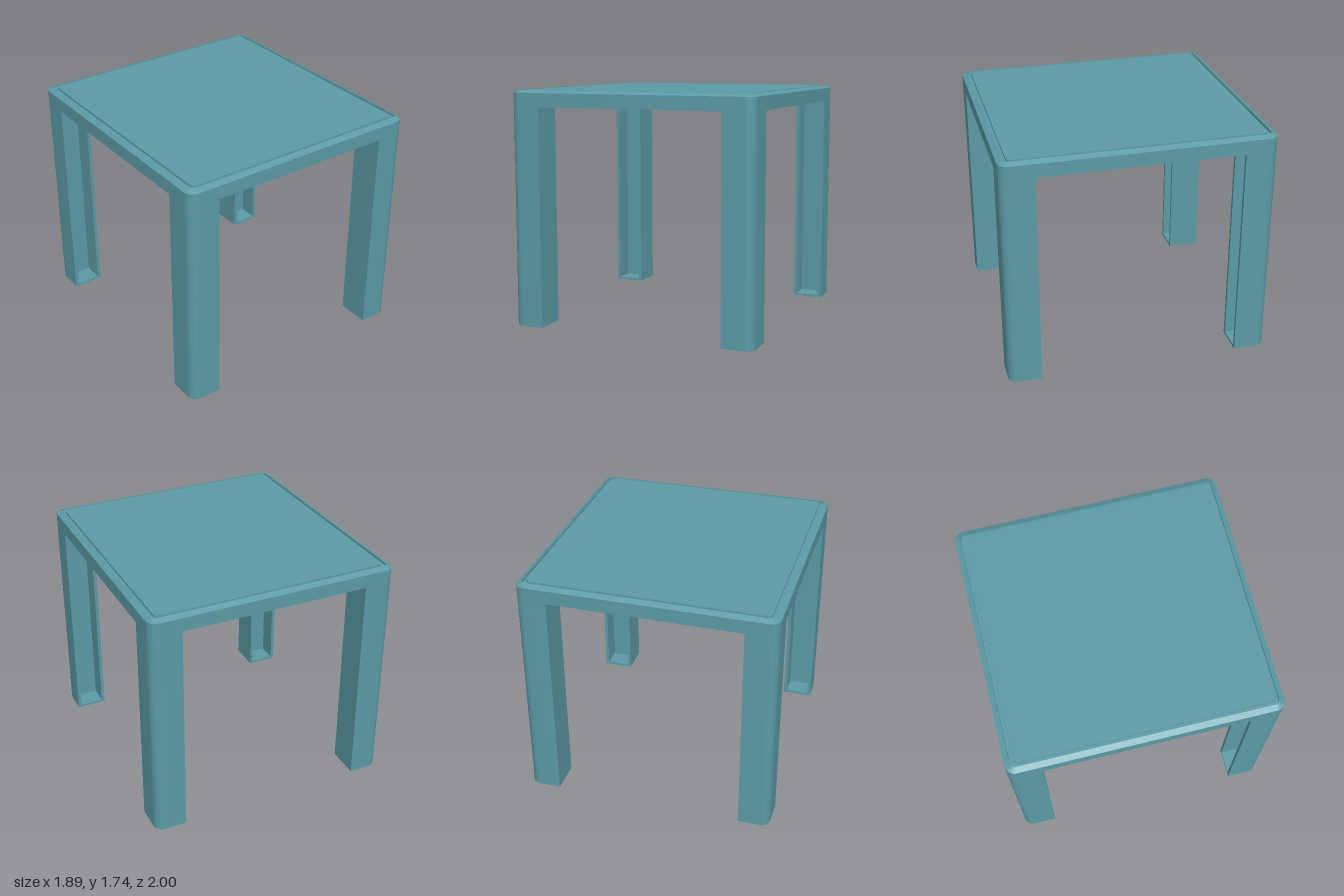
import * as THREE from 'three';
import { toCreasedNormals } from 'three/addons/utils/BufferGeometryUtils.js';

const W = 0.931, D = 0.985;          // half width and half depth
const LEG_X = 0.7, LEG_Z = 0.742;    // inner faces of the legs
const R = 0.07, WALL = 0.026, CAVITY = 0.15;
const LEG_H = 1.62, FLOOR = 0.02;

// Arc points of the outer corner in the positive quadrant
function cornerArc(w, d, r, steps = 8) {
  return Array.from({ length: steps + 1 }, (_, i) => {
    const a = (i / steps) * Math.PI / 2;
    return [w - r + r * Math.cos(a), d - r + r * Math.sin(a)];
  });
}

// Rounded rectangle, counterclockwise from above, as [x, -z]
function ring(inset) {
  const arc = cornerArc(W - inset, D - inset, Math.max(R - inset, 0.035));
  const back = [...arc].reverse();
  return [
    ...arc,
    ...back.map(([x, y]) => [-x, y]),
    ...arc.map(([x, y]) => [-x, -y]),
    ...back.map(([x, y]) => [x, -y]),
  ];
}

// Slab lofted from [inset, height] rings and closed at both ends
function loft(profile) {
  const pos = [], idx = [];
  profile.forEach(([inset, y]) => ring(inset).forEach(([x, s]) => pos.push(x, y, -s)));
  const n = pos.length / 3 / profile.length, last = profile.length - 1;
  const bottom = pos.length / 3, top = bottom + 1;
  pos.push(0, profile[0][1], 0, 0, profile[last][1], 0);
  for (let j = 0; j < n; j++) {
    const k = (j + 1) % n;
    for (let i = 0; i < last; i++) {
      const a = i * n + j, b = i * n + k;
      idx.push(a, b, b + n, a, b + n, a + n);
    }
    idx.push(bottom, k, j, top, last * n + j, last * n + k);
  }
  const geo = new THREE.BufferGeometry();
  geo.setAttribute('position', new THREE.Float32BufferAttribute(pos, 3));
  geo.setIndex(idx);
  return toCreasedNormals(geo, 0.4);
}

// Upright prism from a plan outline given as [x, -z]
function prism(points, y, height) {
  const shape = new THREE.Shape(points.map(([x, s]) => new THREE.Vector2(x, s)));
  const geo = new THREE.ExtrudeGeometry(shape, { depth: height, bevelEnabled: false });
  geo.rotateX(-Math.PI / 2).translate(0, y, 0);
  return toCreasedNormals(geo, 0.4);
}

export function createModel() {
  const model = new THREE.Group();
  model.name = 'sideTable';
  const material = new THREE.MeshStandardMaterial({ color: 0x5b9aa6 });
  const add = (name, geo, parent = model) => {
    const mesh = new THREE.Mesh(geo, material);
    mesh.name = name;
    parent.add(mesh);
  };

  // Tabletop with chamfered rim and a shallow groove around the panel
  add('tabletop', loft([
    [0, LEG_H], [0, 1.72], [0.04, 1.74], [0.041, 1.725], [0.064, 1.725], [0.065, 1.74],
  ]));

  // Legs: rounded outside corner, hollow channel open on the inner face
  const outer = cornerArc(W, D, R);
  const solid = [[LEG_X, LEG_Z], [W, LEG_Z], ...outer, [LEG_X, D]];
  const channel = [
    [LEG_X, LEG_Z],
    [LEG_X + WALL, LEG_Z], [LEG_X + WALL, LEG_Z + CAVITY],
    [W - WALL, LEG_Z + CAVITY], [W - WALL, LEG_Z],
    [W, LEG_Z], ...outer, [LEG_X, D],
  ];
  for (const sx of [1, -1]) {
    for (const sz of [1, -1]) {
      const leg = new THREE.Group();
      leg.name = (sz > 0 ? 'front' : 'back') + (sx > 0 ? 'Left' : 'Right') + 'Leg';
      const mirror = (pts) => pts.map(([x, z]) => [sx * x, -sz * z]);
      add('legFoot', prism(mirror(solid), 0, FLOOR), leg);
      add('legChannel', prism(mirror(channel), FLOOR, LEG_H - FLOOR), leg);
      model.add(leg);
    }
  }

  // The table stands turned by about one degree
  model.rotation.y = -0.0175;
  return model;
}
